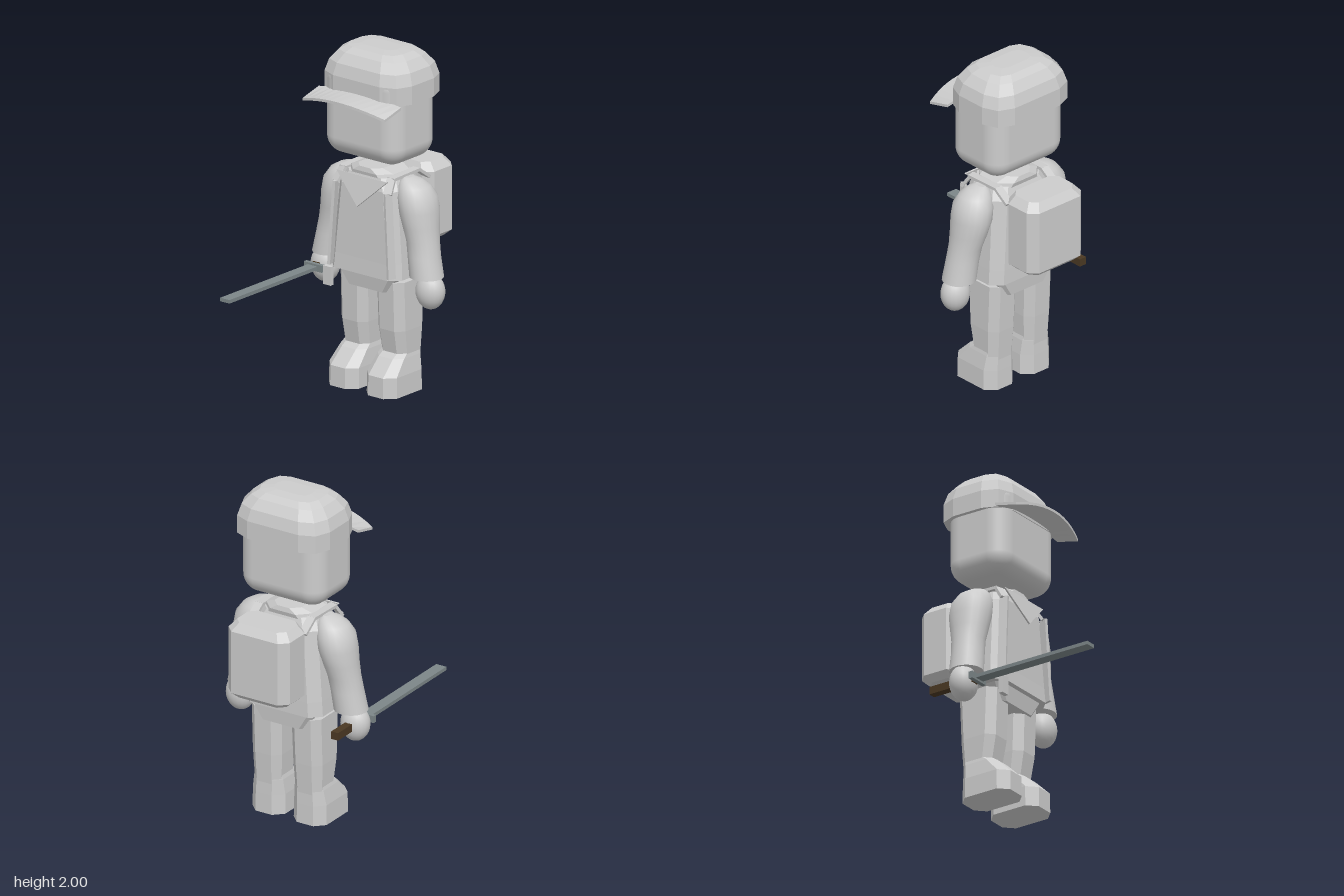
import * as THREE from 'three';
import { RoundedBoxGeometry } from 'three/addons/geometries/RoundedBoxGeometry.js';

// Horizontal rectangle with cut corners; n = facets per corner
function rect(y, cx, hx, z0, z1, c, n = 1) {
  const pts = [], cz = (z0 + z1) / 2, hz = (z1 - z0) / 2;
  for (let q = 0; q < 4; q++) {
    const sx = q === 0 || q === 3 ? 1 : -1, sz = q < 2 ? 1 : -1;
    for (let k = 0; k <= n; k++) {
      const a = (q + k / n) * Math.PI / 2;
      pts.push([cx + sx * (hx - c) + c * Math.cos(a), y, cz + sz * (hz - c) + c * Math.sin(a)]);
    }
  }
  return pts;
}

function oval(y, cx, rx, cz, rz, n = 20) {
  return Array.from({ length: n }, (_, i) => {
    const a = i / n * Math.PI * 2;
    return [cx + rx * Math.cos(a), y, cz + rz * Math.sin(a)];
  });
}

// Skin a stack of rings from bottom to top and cap both ends
function loft(rings, smooth = false) {
  const n = rings[0].length, pos = rings.flat(2), idx = [];
  for (let r = 0; r < rings.length - 1; r++) {
    for (let i = 0; i < n; i++) {
      const j = (i + 1) % n, a = r * n + i, b = r * n + j;
      idx.push(a, a + n, b + n, a, b + n, b);
    }
  }
  for (const top of [false, true]) {
    const ring = top ? rings[rings.length - 1] : rings[0], base = pos.length / 3;
    pos.push(...ring.flat());
    for (let i = 1; i < n - 1; i++) {
      if (top) idx.push(base, base + i + 1, base + i);
      else idx.push(base, base + i, base + i + 1);
    }
  }
  const g = new THREE.BufferGeometry();
  g.setAttribute('position', new THREE.Float32BufferAttribute(pos, 3));
  g.setIndex(idx);
  return smooth ? (g.computeVertexNormals(), g) : faceted(g);
}

function faceted(g) {
  const f = g.toNonIndexed();
  f.computeVertexNormals();
  return f;
}

export function createModel() {
  const model = new THREE.Group();
  model.name = 'adventurer';
  const paint = (name, color) => {
    const m = new THREE.MeshStandardMaterial({ color });
    m.name = name;
    return m;
  };
  const grey = paint('light grey', 0xcccccc);
  const steel = paint('steel grey', 0x7c8688);
  const wood = paint('dark brown', 0x4a3823);
  const add = (name, geo, mat = grey, x = 0, y = 0, z = 0) => {
    const m = new THREE.Mesh(geo, mat);
    m.name = name;
    m.position.set(x, y, z);
    model.add(m);
    return m;
  };
  const box = (w, h, d) => new THREE.BoxGeometry(w, h, d);

  // Head
  add('head', new RoundedBoxGeometry(0.55, 0.56, 0.405, 6, 0.11), grey, 0, 1.64, -0.229);

  // Cap crown: y and inset of each ring
  const crown = [[1.732, 0], [1.84, 0], [1.91, 0.022], [1.965, 0.068], [1.993, 0.11], [2.0, 0.18]];
  add('capCrown', loft(crown.map(([y, d]) =>
    rect(y, 0, 0.3 - d, -0.475 + d * 0.9, -0.022 - d * 0.9, 0.13 - d * 0.45, 2))));

  // Cap brim, arched across and drooping forward
  const brim = new THREE.BoxGeometry(0.6, 0.016, 1, 12, 1, 1);
  const p = brim.attributes.position;
  for (let i = 0; i < p.count; i++) {
    const u = p.getX(i) / 0.3, t = p.getZ(i) + 0.5;
    const y = THREE.MathUtils.lerp(1.757 - 0.025 * u * u, 1.748 - 0.052 * u * u, t);
    p.setXYZ(i, p.getX(i), y + p.getY(i), THREE.MathUtils.lerp(-0.055, 0.138 - 0.05 * u * u, t));
  }
  add('capBrim', faceted(brim));

  // Torso, collar and hips
  add('jacket', loft([
    rect(0.69, 0, 0.255, -0.41, -0.06, 0.06),
    rect(0.78, 0, 0.248, -0.408, -0.065, 0.06),
    rect(1.2, 0, 0.21, -0.39, -0.075, 0.06),
    rect(1.27, 0, 0.175, -0.36, -0.1, 0.06)]));
  add('collar', loft([
    rect(1.26, 0, 0.17, -0.365, -0.1, 0.07),
    rect(1.285, 0, 0.155, -0.372, -0.095, 0.07),
    rect(1.312, 0, 0.09, -0.365, -0.1, 0.05)]));
  add('hips', loft([
    rect(0.595, 0, 0.15, -0.39, -0.105, 0.03),
    rect(0.7, 0, 0.215, -0.4, -0.09, 0.03)]));

  // Neckerchief hanging in front
  const tri = new THREE.Shape([[-0.185, 0], [0, -0.175], [0.185, 0]].map(a => new THREE.Vector2(...a)));
  const scarf = add('neckerchief', new THREE.ExtrudeGeometry(tri, { depth: 0.009, bevelEnabled: false }),
    grey, 0, 1.265, -0.079);
  scarf.rotation.x = -0.24;

  // Hanging belt tab
  add('beltTab', box(0.055, 0.11, 0.027), grey, -0.226, 0.638, -0.05);

  // Backpack
  add('backpack', loft([
    rect(0.82, 0, 0.165, -0.625, -0.435, 0.04),
    rect(0.855, 0, 0.205, -0.662, -0.41, 0.05),
    rect(1.235, 0, 0.205, -0.662, -0.41, 0.05),
    rect(1.283, 0, 0.165, -0.625, -0.435, 0.04)]));

  // Strap route over the shoulder: x, y, z
  const route = [[0.222, 0.71, -0.064], [0.19, 1.2, -0.072], [0.175, 1.272, -0.12],
    [0.175, 1.278, -0.34], [0.175, 1.215, -0.43]].map(a => new THREE.Vector3(...a));

  for (const s of [1, -1]) {
    const side = s > 0 ? 'left' : 'right';

    for (let i = 0; i < route.length - 1; i++) {
      const a = route[i].clone(), b = route[i + 1].clone();
      a.x *= s;
      b.x *= s;
      const m = add(side + 'Strap', box(0.05, 0.018, a.distanceTo(b) + 0.008));
      m.position.copy(a).lerp(b, 0.5);
      m.lookAt(b);
    }

    // Sleeve: y, centre x, radius x, centre z, radius z
    const sleeve = [[0.714, 0.355, 0.098, -0.214, 0.098], [0.836, 0.333, 0.094, -0.219, 0.095],
      [0.92, 0.318, 0.094, -0.226, 0.097], [1.0, 0.3, 0.1, -0.232, 0.113],
      [1.09, 0.283, 0.11, -0.237, 0.127], [1.17, 0.267, 0.111, -0.236, 0.122],
      [1.225, 0.248, 0.09, -0.234, 0.095], [1.255, 0.228, 0.06, -0.233, 0.065],
      [1.27, 0.208, 0.022, -0.232, 0.035]];
    add(side + 'Arm', loft(sleeve.map(([y, x, rx, z, rz]) => oval(y, s * x, rx, z, rz)), true));

    const hand = new THREE.SphereGeometry(1, 20, 14);
    hand.scale(0.088, 0.105, 0.079);
    add(side + 'Hand', hand, grey, s * 0.383, 0.633, -0.213);

    // Leg and shoe
    add(side + 'Leg', loft([
      rect(0.18, s * 0.136, 0.088, -0.352, -0.165, 0.04),
      rect(0.37, s * 0.135, 0.098, -0.365, -0.13, 0.045),
      rect(0.66, s * 0.133, 0.1, -0.377, -0.12, 0.045)]));
    add(side + 'Shoe', loft([
      rect(0, s * 0.138, 0.11, -0.356, -0.026, 0.055),
      rect(0.12, s * 0.138, 0.108, -0.354, -0.028, 0.055),
      rect(0.21, s * 0.135, 0.096, -0.352, -0.12, 0.045),
      rect(0.236, s * 0.135, 0.09, -0.35, -0.16, 0.04)]));
  }

  // Sword in the right hand
  add('swordBlade', box(0.067, 0.021, 0.765), steel, -0.386, 0.636, 0.28);
  add('swordGuard', box(0.13, 0.042, 0.025), steel, -0.386, 0.636, -0.117);
  add('swordHandle', box(0.046, 0.046, 0.3), wood, -0.386, 0.636, -0.28);
  return model;
}
